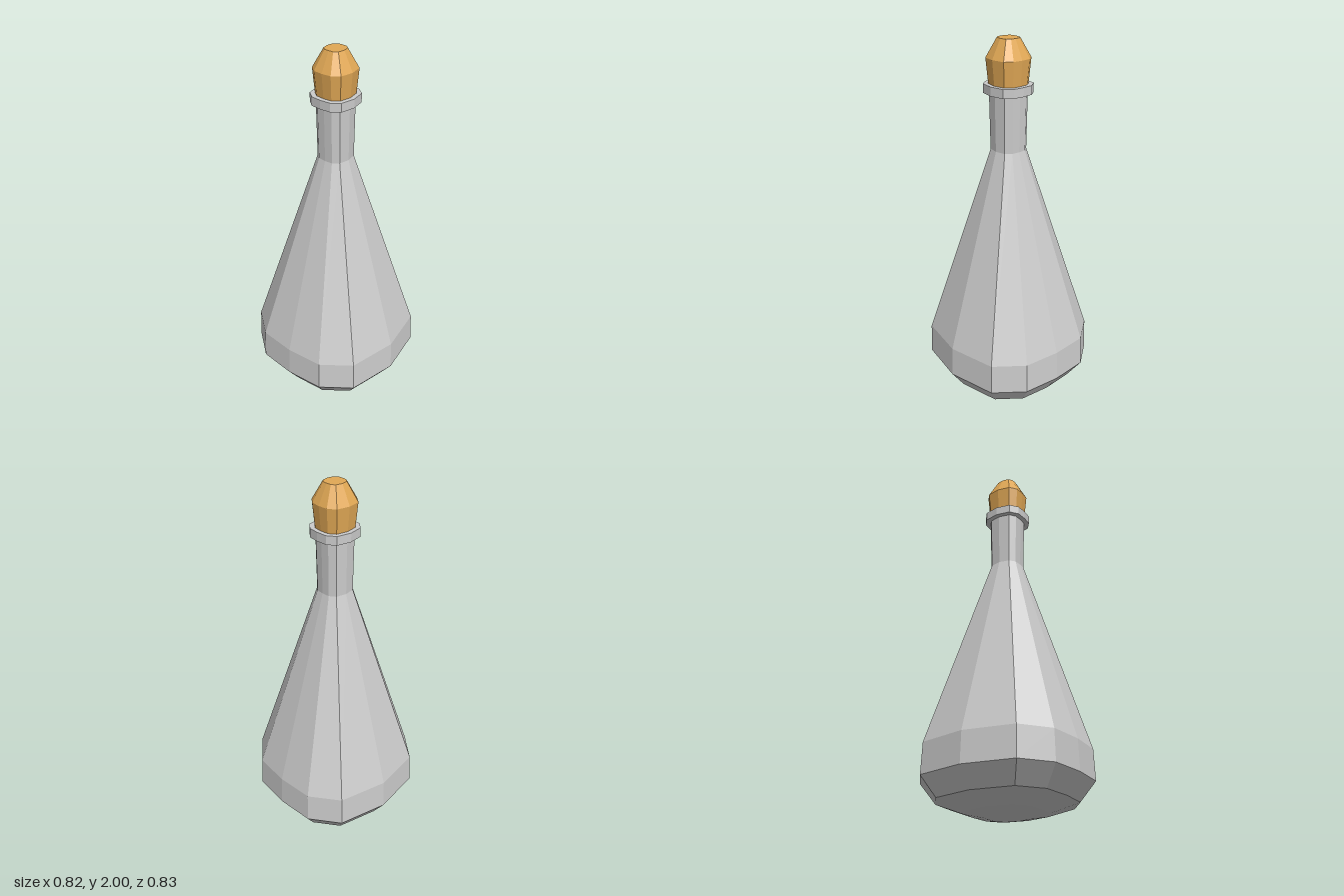
import * as THREE from 'three';

// One quarter of the twelve-sided cross-section as [x, z], with unit half-width in x
const QUARTER = [[0, 1.01], [0.669, 0.876], [0.956, 0.504]];

function sectionPoints() {
  const points = [];
  for (let q = 0; q < 4; q++) {
    const sx = q < 2 ? 1 : -1;
    const sz = q === 0 || q === 3 ? 1 : -1;
    const run = [...QUARTER, [1, 0]];
    if (q % 2) run.reverse();
    // the last point of each run starts the next one
    for (const [x, z] of run.slice(0, 3)) points.push([x * sx, z * sz]);
  }
  return points;
}

// Sweep the cross-section up a profile of [radius, height] rows, with flat facets
function facetedBody(name, profile, material) {
  const section = sectionPoints();
  const n = section.length;
  const positions = [];
  const corner = ([r, y], i) => {
    const [x, z] = section[i % n];
    return [x * r, y, z * r];
  };
  for (let k = 0; k < profile.length - 1; k++) {
    const low = profile[k], high = profile[k + 1];
    for (let i = 0; i < n; i++) {
      const a = corner(low, i), b = corner(low, i + 1);
      const c = corner(high, i + 1), d = corner(high, i);
      if (low[0] > 0) positions.push(...a, ...b, ...(high[0] > 0 ? c : d));
      if (high[0] > 0) positions.push(...a, ...c, ...d);
    }
  }
  const geometry = new THREE.BufferGeometry();
  geometry.setAttribute('position', new THREE.Float32BufferAttribute(positions, 3));
  geometry.computeVertexNormals();
  const mesh = new THREE.Mesh(geometry, material);
  mesh.name = name;
  return mesh;
}

export function createModel() {
  const model = new THREE.Group();
  model.name = 'flask';
  const glass = new THREE.MeshStandardMaterial({ color: 0xcccccc, flatShading: true });
  const cork = new THREE.MeshStandardMaterial({ color: 0xe1a855, flatShading: true });

  // Rounded base, tapering shoulder and slim neck
  model.add(facetedBody('bottle', [
    [0, 0], [0.11, 0.006], [0.2, 0.024], [0.335, 0.075], [0.411, 0.18],
    [0.405, 0.345], [0.085, 1.42], [0.09, 1.72],
  ], glass));

  // Flat ring around the mouth
  model.add(facetedBody('collar', [
    [0.085, 1.72], [0.117, 1.72], [0.117, 1.768], [0.085, 1.768],
  ], glass));

  // Stopper with a bevelled, flat top
  model.add(facetedBody('stopper', [
    [0, 1.75], [0.093, 1.75], [0.093, 1.768], [0.105, 1.9], [0.053, 2], [0, 2],
  ], cork));

  return model;
}
